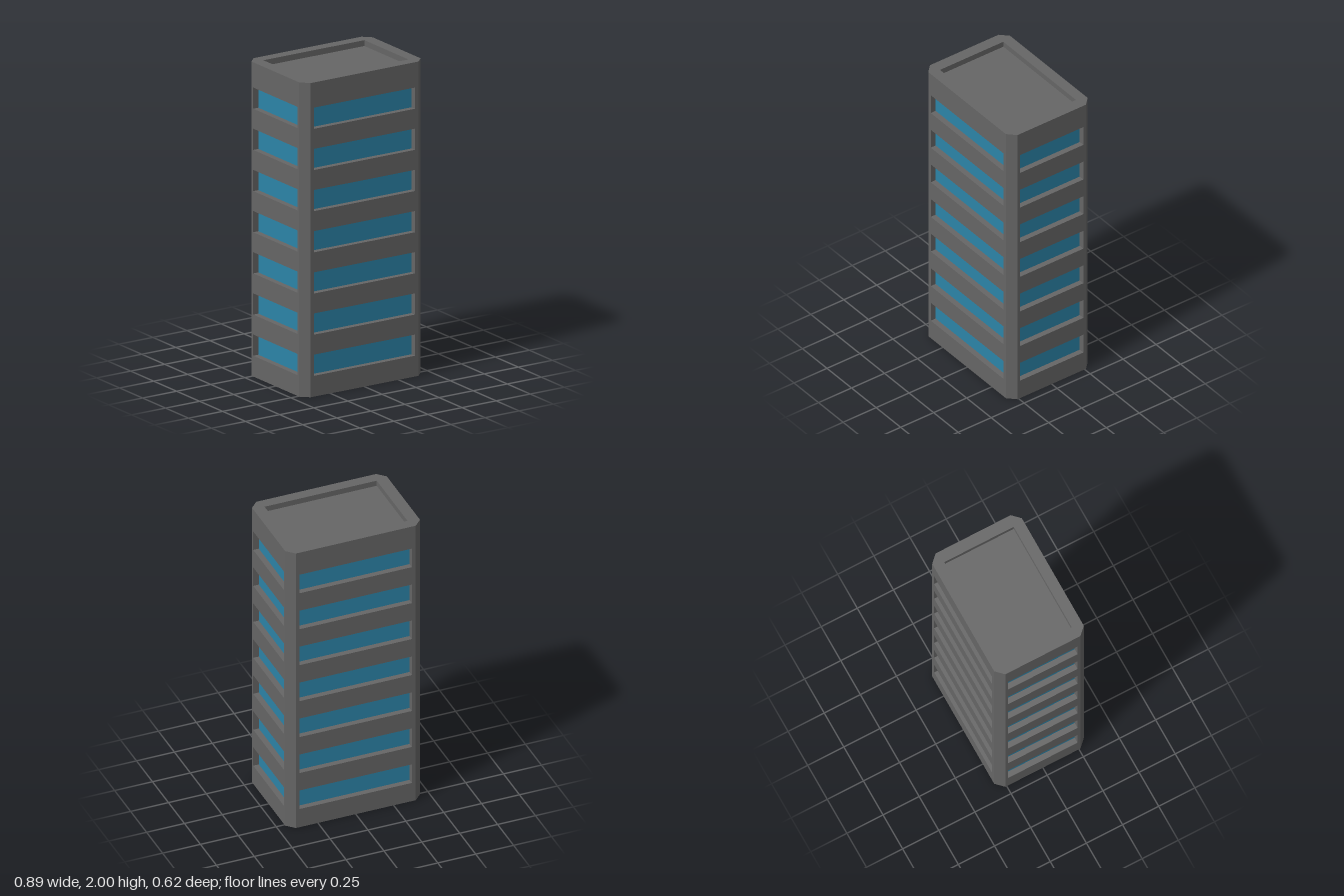
import * as THREE from 'three';

const HX = 0.445, HZ = 0.31, HEIGHT = 2, CHAMFER = 0.05;
const WIN_X = 0.74, WIN_Z = 0.48, WIN_H = 0.135; // opening sizes
const FLOORS = 7, FIRST = 0.2, PITCH = 0.262;
const DEPTH = 0.037;

const concrete = new THREE.MeshStandardMaterial({ color: 0x666666 });
const glass = new THREE.MeshStandardMaterial({ color: 0x2c84a8 });

function polygon(points) {
  return new THREE.Shape(points.map(([x, y]) => new THREE.Vector2(x, y)));
}

function rectPoints(w, h, y = 0) {
  return [[-w / 2, y - h / 2], [w / 2, y - h / 2], [w / 2, y + h / 2], [-w / 2, y + h / 2]];
}

function addMesh(parent, name, geometry, material) {
  const mesh = new THREE.Mesh(geometry, material);
  mesh.name = name;
  parent.add(mesh);
  return mesh;
}

// The four inward-facing sides of an opening
function revealGeometry(w, h, depth) {
  const g = new THREE.BoxGeometry(w, h, depth);
  g.clearGroups();
  g.setIndex(Array.from(g.index.array).slice(0, 24).reverse());
  const n = g.attributes.normal;
  for (let i = 0; i < n.count; i++) n.setXYZ(i, -n.getX(i), -n.getY(i), -n.getZ(i));
  return g;
}

// A panel facing +z with rectangular recesses, each closed by a pane
function recessedPanel(name, outline, w, h, rows, paneName, paneMaterial) {
  const group = new THREE.Group();
  group.name = name;
  const shape = polygon(outline);
  for (const y of rows) {
    shape.holes.push(new THREE.Path(polygon(rectPoints(w, h, y).reverse()).getPoints()));
    addMesh(group, 'recessReveal', revealGeometry(w, h, DEPTH), concrete).position.set(0, y, -DEPTH / 2);
    addMesh(group, paneName, new THREE.PlaneGeometry(w, h), paneMaterial).position.set(0, y, -DEPTH);
  }
  addMesh(group, name + 'Face', new THREE.ShapeGeometry(shape), concrete);
  return group;
}

export function createModel() {
  const model = new THREE.Group();
  model.name = 'officeTower';
  const rows = Array.from({ length: FLOORS }, (_, i) => FIRST + i * PITCH);

  // Four walls with a band of glass on every floor
  const walls = [
    ['frontWall', HX, HZ, WIN_X, 0], ['leftWall', HZ, HX, WIN_Z, 1],
    ['backWall', HX, HZ, WIN_X, 2], ['rightWall', HZ, HX, WIN_Z, 3],
  ];
  for (const [name, half, distance, winW, turn] of walls) {
    const outline = rectPoints(2 * (half - CHAMFER), HEIGHT, HEIGHT / 2);
    const wall = recessedPanel(name, outline, winW, WIN_H, rows, 'windowBand', glass);
    wall.rotation.y = turn * Math.PI / 2;
    wall.position.set(0, 0, distance).applyEuler(wall.rotation);
    model.add(wall);
  }

  // Chamfered corners
  for (const sx of [-1, 1]) for (const sz of [-1, 1]) {
    const corner = addMesh(model, 'cornerChamfer', new THREE.PlaneGeometry(CHAMFER * Math.SQRT2, HEIGHT), concrete);
    corner.position.set(sx * (HX - CHAMFER / 2), HEIGHT / 2, sz * (HZ - CHAMFER / 2));
    corner.rotation.y = Math.atan2(sx, sz);
  }

  // Roof rim with sunken deck, and the underside
  const cx = HX - CHAMFER, cz = HZ - CHAMFER;
  const octagon = [[cx, -HZ], [HX, -cz], [HX, cz], [cx, HZ], [-cx, HZ], [-HX, cz], [-HX, -cz], [-cx, -HZ]];
  const roof = recessedPanel('roof', octagon, WIN_X, WIN_Z, [0], 'roofDeck', concrete);
  roof.rotation.x = -Math.PI / 2;
  roof.position.y = HEIGHT;
  model.add(roof);
  const base = addMesh(model, 'underside', new THREE.ShapeGeometry(polygon(octagon)), concrete);
  base.rotation.x = Math.PI / 2;

  return model;
}
